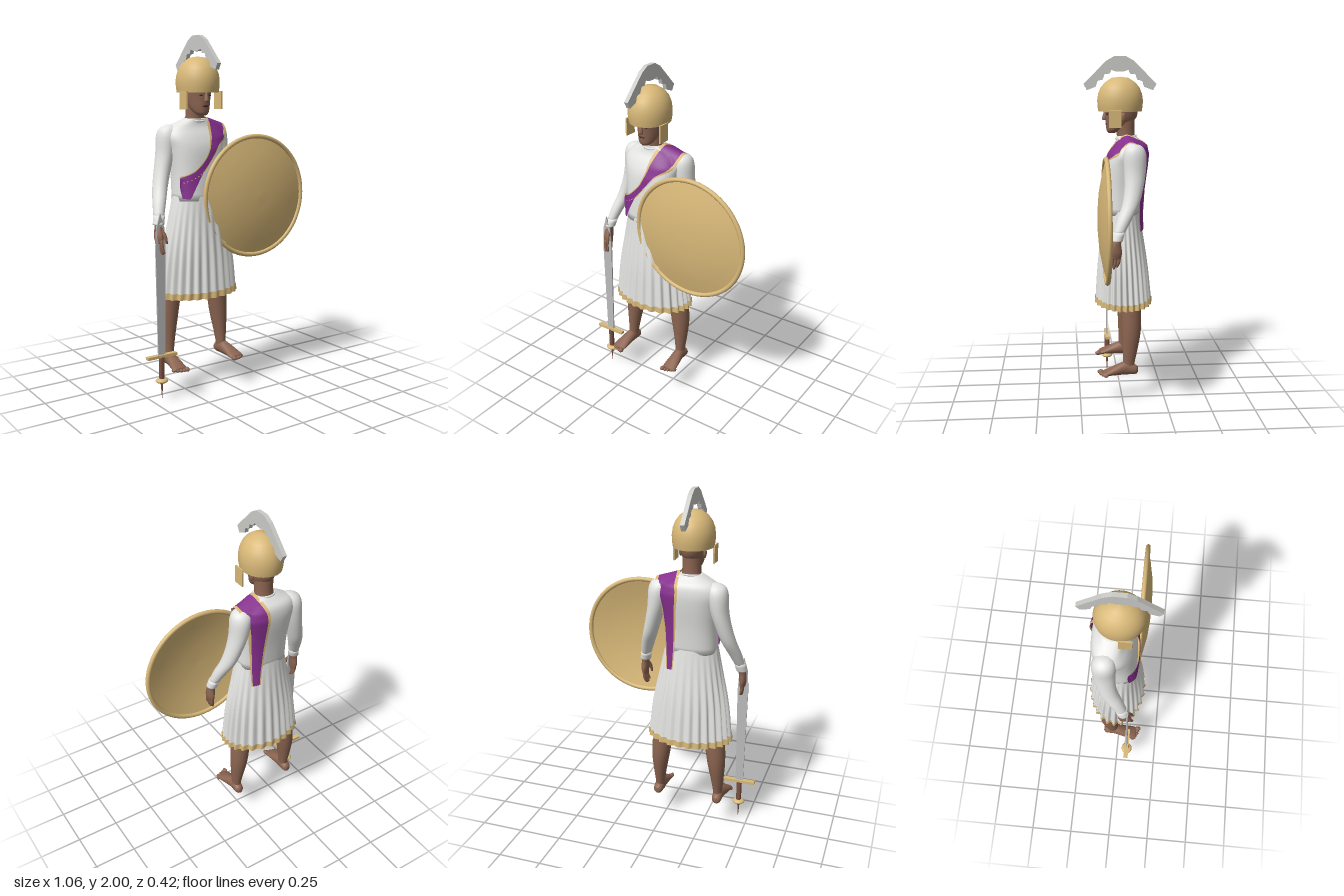
import * as THREE from 'three';
import { toCreasedNormals } from 'three/addons/utils/BufferGeometryUtils.js';

const material = (name, color, side = THREE.FrontSide) => {
  const m = new THREE.MeshStandardMaterial({ color, side });
  m.name = name;
  return m;
};
const V = (x, y, z = 0) => new THREE.Vector3(x, y, z);

// Smooth body through horizontal rings [x, y, z, rx, rz], capped unless open
function loft(rows, { seg = 24, steps = 24, power = 2, ripple = null, open = false } = {}) {
  if (rows[0][1] > rows[rows.length - 1][1]) rows = [...rows].reverse();
  const path = new THREE.CatmullRomCurve3(rows.map(r => V(r[0], r[1], r[2])), false, 'catmullrom', 0.5);
  const size = new THREE.CatmullRomCurve3(rows.map(r => V(r[3], r[4])), false, 'catmullrom', 0.5);
  const pos = [], index = [];
  const bend = c => Math.sign(c) * Math.abs(c) ** (2 / power);
  for (let i = 0; i <= steps; i++) {
    const p = path.getPoint(i / steps), s = size.getPoint(i / steps);
    for (let j = 0; j < seg; j++) {
      const a = j / seg * Math.PI * 2, k = ripple ? 1 + ripple(a, p.y) : 1;
      pos.push(p.x + s.x * k * bend(Math.cos(a)), p.y, p.z + s.y * k * bend(Math.sin(a)));
      if (i === steps) continue;
      const b = i * seg + j, n = i * seg + (j + 1) % seg;
      index.push(b, b + seg, n, n, b + seg, n + seg);
    }
  }
  if (!open) {
    const c = pos.length / 3, top = steps * seg;
    const [p, q] = [path.getPoint(0), path.getPoint(1)];
    pos.push(p.x, p.y, p.z, q.x, q.y, q.z);
    for (let j = 0; j < seg; j++) {
      const n = (j + 1) % seg;
      index.push(c, j, n, c + 1, top + n, top + j);
    }
  }
  const g = new THREE.BufferGeometry();
  g.setAttribute('position', new THREE.Float32BufferAttribute(pos, 3));
  g.setIndex(index);
  g.computeVertexNormals();
  return g;
}

// Torso rings, also used to drape the sash
const TORSO = [
  [0, 1.1, -0.005, 0.15, 0.105], [0, 1.25, -0.015, 0.15, 0.11], [0, 1.38, -0.03, 0.165, 0.115],
  [0, 1.45, -0.045, 0.18, 0.105], [0, 1.5, -0.055, 0.155, 0.085], [0, 1.53, -0.045, 0.1, 0.066],
  [0, 1.55, -0.035, 0.058, 0.055],
];
function drape(x, y, s) {
  let i = 0;
  while (i < TORSO.length - 2 && y > TORSO[i + 1][1]) i++;
  const t = THREE.MathUtils.clamp((y - TORSO[i][1]) / (TORSO[i + 1][1] - TORSO[i][1]), 0, 1);
  const [zc, rx, rz] = [2, 3, 4].map(k => THREE.MathUtils.lerp(TORSO[i][k], TORSO[i + 1][k], t));
  const depth = rz * Math.max(0, 1 - Math.abs(x / rx) ** 2.5) ** 0.4;
  return zc + s * (Math.max(depth, 0.05) + 0.016);
}

// Cloth strip between two edges; rows are [ax, ay, bx, by, s], s = 1 front to -1 back
function ribbon(rows, from, to) {
  const a = new THREE.CatmullRomCurve3(rows.map(r => V(r[0], r[1], r[4])), false, 'catmullrom', 0.4);
  const b = new THREE.CatmullRomCurve3(rows.map(r => V(r[2], r[3], r[4])), false, 'catmullrom', 0.4);
  const g = new THREE.PlaneGeometry(1, 1, 8, 60), p = g.attributes.position;
  for (let i = 0; i < p.count; i++) {
    const u = THREE.MathUtils.lerp(from, to, p.getX(i) + 0.5), v = 0.5 - p.getY(i);
    const q = a.getPoint(v).lerp(b.getPoint(v), u);
    p.setXYZ(i, q.x, q.y, drape(q.x, q.y, q.z));
  }
  g.computeVertexNormals();
  return g;
}

export function createModel() {
  const gold = material('gold', 0xd8b878, THREE.DoubleSide);
  const cloth = material('white cloth', 0xe4e4e2, THREE.DoubleSide);
  const purple = material('purple cloth', 0x86308e, THREE.DoubleSide);
  const skin = material('skin', 0x8c6551);
  const dark = material('dark features', 0x3c2b25);
  const steel = material('steel', 0xbcbcbc);
  const plume = material('plume', 0xcacac7);
  const wood = material('grip brown', 0x7a5141);

  const model = new THREE.Group();
  model.name = 'warrior';
  const group = (name, parent, x = 0, y = 0, z = 0) => {
    const g = new THREE.Group();
    g.name = name;
    g.position.set(x, y, z);
    parent.add(g);
    return g;
  };
  const add = (name, geo, mat, parent, x = 0, y = 0, z = 0) => {
    const m = new THREE.Mesh(geo, mat);
    m.name = name;
    m.position.set(x, y, z);
    parent.add(m);
    return m;
  };
  const body = group('body', model, -0.153);

  // Tunic and pleated skirt
  add('tunicTop', loft(TORSO, { power: 2.5, seg: 40 }), cloth, body);
  add('collar', new THREE.TorusGeometry(0.058, 0.006, 8, 32).rotateX(Math.PI / 2 + 0.15), cloth, body, 0, 1.542, -0.034);
  const skirtRows = [[0, 1.125, -0.006, 0.152, 0.108], [0, 0.98, -0.01, 0.18, 0.122], [0, 0.8, -0.014, 0.213, 0.142],
    [0, 0.59, -0.018, 0.236, 0.159], [0, 0.555, -0.018, 0.24, 0.161]];
  const pleats = a => Math.cos(26 * a + 0.8 * Math.sin(3 * a));
  const ripple = (a, y) => pleats(a) * 0.045 * Math.min(1, (1.125 - y) / 0.4);
  add('skirt', loft(skirtRows, { seg: 208, steps: 20, ripple, open: true }), cloth, body);
  const hemRows = skirtRows.slice(-2).map(r => [r[0], r[1], r[2], r[3] + 0.003, r[4] + 0.003]);
  add('skirtHem', loft(hemRows, { seg: 208, steps: 2, ripple, open: true }), gold, body);

  // Sash over the left shoulder with gold borders, and its loose front end
  const sash = group('sash', body);
  const sashRows = [
    [-0.155, 1.23, -0.135, 1.2, 1], [-0.08, 1.27, -0.04, 1.25, 1], [-0.01, 1.34, 0.03, 1.33, 1],
    [0.025, 1.42, 0.09, 1.4, 1], [0.036, 1.49, 0.16, 1.44, 1], [0.05, 1.535, 0.19, 1.49, 0.8], [0.062, 1.56, 0.195, 1.52, 0],
    [0.05, 1.53, 0.185, 1.49, -0.9], [0.04, 1.47, 0.165, 1.43, -1], [0.05, 1.36, 0.145, 1.34, -1],
    [0.06, 1.2, 0.13, 1.2, -1.04], [0.075, 1.01, 0.12, 1.0, -1.12],
  ];
  const tailRows = [[-0.152, 1.225, -0.037, 1.255, 1], [-0.152, 1.17, -0.072, 1.19, 1], [-0.14, 1.115, -0.109, 1.115, 1.03]];
  add('sashCloth', ribbon(sashRows, 0.13, 0.88), purple, sash);
  add('sashInnerBorder', ribbon(sashRows, 0, 0.13), gold, sash);
  add('sashOuterBorder', ribbon(sashRows, 0.88, 1), gold, sash);
  add('sashTail', ribbon(tailRows, 0, 1), purple, sash);

  // Arms, hands, legs and feet, mirrored left and right
  for (const [side, s] of [['right', -1], ['left', 1]]) {
    const mirror = rows => rows.map(([x, ...r]) => [x * s, ...r]);
    const arm = group(side + 'Arm', body, s > 0 ? 0.015 : 0);
    add('sleeve', loft(mirror([
      [0.145, 1.515, -0.065, 0.02, 0.02], [0.15, 1.495, -0.068, 0.052, 0.05], [0.158, 1.45, -0.07, 0.06, 0.066],
      [0.172, 1.36, -0.07, 0.051, 0.062], [0.195, 1.27, -0.062, 0.045, 0.054], [0.222, 1.18, -0.042, 0.041, 0.048],
      [0.25, 1.1, -0.005, 0.036, 0.041], [0.274, 1.02, 0.03, 0.028, 0.031]])), cloth, arm);
    add('cuff', loft(mirror([[0.27, 1.035, 0.026, 0.032, 0.034], [0.282, 0.985, 0.04, 0.031, 0.033]]), { steps: 3 }), cloth, arm);
    add('palm', loft(mirror([
      [0.278, 1.0, 0.036, 0.022, 0.025], [0.285, 0.965, 0.045, 0.021, 0.028],
      [0.288, 0.92, 0.05, 0.02, 0.038], [0.287, 0.885, 0.053, 0.015, 0.034]])), skin, arm);
    for (let f = 0; f < 4; f++) {
      const z = 0.026 + f * 0.018, end = 0.818 + Math.abs(f - 1.6) * 0.009;
      add('finger', loft(mirror([
        [0.287, 0.905, z, 0.01, 0.01], [0.287, 0.865, z + 0.005, 0.0095, 0.0095],
        [0.281, end + 0.01, z + 0.012, 0.008, 0.008], [0.278, end, z + 0.014, 0.004, 0.004]]), { seg: 8, steps: 9 }), skin, arm);
    }
    add('thumb', loft(mirror([
      [0.28, 0.965, 0.06, 0.011, 0.012], [0.268, 0.925, 0.083, 0.011, 0.011],
      [0.262, 0.885, 0.093, 0.006, 0.006]]), { seg: 8, steps: 9 }), skin, arm);

    const leg = group(side + 'Leg', body);
    add('shinAndThigh', loft(mirror([
      [0.085, 0.95, -0.02, 0.07, 0.075], [0.13, 0.72, -0.035, 0.07, 0.072], [0.158, 0.55, -0.05, 0.06, 0.06],
      [0.171, 0.42, -0.053, 0.052, 0.056], [0.178, 0.3, -0.045, 0.036, 0.043],
      [0.18, 0.22, -0.037, 0.027, 0.034], [0.182, 0.175, -0.035, 0.028, 0.036]])), skin, leg);
    add('foot', loft(mirror([
      [0.183, -0.092, -0.182, 0.012, 0.015], [0.183, -0.075, -0.185, 0.027, 0.029], [0.183, -0.02, -0.195, 0.031, 0.04],
      [0.189, 0.04, -0.185, 0.038, 0.03], [0.193, 0.095, -0.172, 0.043, 0.017],
      [0.194, 0.118, -0.167, 0.038, 0.011]])).rotateX(Math.PI / 2), skin, leg);
    for (let t = 0; t < 5; t++) {
      const r = t === 0 ? 0.013 : 0.0095;
      const toe = add('toe', new THREE.SphereGeometry(r, 10, 8), skin, leg, s * (0.161 + t * 0.0175), 0.155 + r, 0.128 - t * t * 0.0018);
      toe.scale.z = 1.5;
    }
  }

  // Head and face
  const head = group('head', body);
  add('neck', loft([[0, 1.5, -0.04, 0.06, 0.058], [0, 1.56, -0.032, 0.052, 0.052], [0, 1.66, -0.025, 0.052, 0.06]]), skin, head);
  add('skull', loft([[0, 1.566, 0.05, 0.018, 0.018], [0, 1.58, 0.038, 0.038, 0.04], [0, 1.61, 0.014, 0.053, 0.068],
    [0, 1.66, -0.006, 0.064, 0.091], [0, 1.73, -0.006, 0.07, 0.097], [0, 1.79, -0.005, 0.062, 0.085],
    [0, 1.83, -0.005, 0.025, 0.035]]), skin, head);
  add('nose', loft([[0, 1.64, 0.088, 0.013, 0.012], [0, 1.65, 0.09, 0.014, 0.015], [0, 1.69, 0.083, 0.007, 0.01]], { seg: 12, steps: 8 }), skin, head);
  add('mouth', new THREE.SphereGeometry(1, 14, 8).scale(0.021, 0.006, 0.008), dark, head, 0, 1.618, 0.077);
  for (const s of [-1, 1]) {
    add('eye', new THREE.SphereGeometry(1, 12, 8).scale(0.011, 0.005, 0.006), dark, head, s * 0.027, 1.676, 0.077);
    add('ear', new THREE.SphereGeometry(1, 12, 10).scale(0.009, 0.027, 0.016), skin, head, s * 0.068, 1.66, -0.015);
  }

  // Helmet with cheek plates and a notched crest
  const helmet = group('helmet', body);
  const domeProfile = [[0.95, 1.69], [0.99, 1.72], [1, 1.755], [0.96, 1.79], [0.85, 1.825], [0.66, 1.855], [0.36, 1.88], [0, 1.886]];
  add('helmetDome', new THREE.LatheGeometry(domeProfile.map(p => new THREE.Vector2(...p)), 48).scale(0.117, 1, 0.132), gold, helmet);
  for (const s of [-1, 1]) add('cheekPlate', new THREE.BoxGeometry(0.009, 0.1, 0.07), gold, helmet, s * 0.113, 1.65, 0.035);
  const half = [[0.035, 2], [0.08, 1.975], [0.15, 1.905], [0.21, 1.845], [0.19, 1.81], [0.14, 1.83], [0.13, 1.862],
    [0.1, 1.87], [0.09, 1.9], [0.06, 1.903], [0.05, 1.925], [0.02, 1.915]];
  const arch = [...half, ...half.map(([z, y]) => [-z, y]).reverse()];
  add('crest', new THREE.ExtrudeGeometry(new THREE.Shape(arch.map(p => new THREE.Vector2(...p))), { depth: 0.024, bevelEnabled: false })
    .translate(0, 0, -0.012).rotateY(Math.PI / 2), plume, helmet);

  // Round shield
  const shield = group('shield', model, 0.172, 1.103, 0);
  const bowl = [[0, 0.148], [0.08, 0.146], [0.17, 0.138], [0.26, 0.12], [0.338, 0.1]];
  add('shieldBowl', new THREE.LatheGeometry(bowl.map(p => new THREE.Vector2(...p)), 64).rotateX(Math.PI / 2), gold, shield);
  add('shieldRim', new THREE.TorusGeometry(0.342, 0.013, 12, 72), gold, shield, 0, 0, 0.1);

  // Sword held point upward
  const sword = group('sword', model, -0.44, 0, 0.065);
  const outline = [[-0.022, 0.25], [0.022, 0.25], [0.031, 0.85], [0.024, 0.97], [0, 1.05], [-0.024, 0.97], [-0.031, 0.85]];
  add('blade', new THREE.ExtrudeGeometry(new THREE.Shape(outline.map(p => new THREE.Vector2(...p))), { depth: 0.008, bevelEnabled: false })
    .translate(0, 0, -0.004), steel, sword);
  add('crossguard', new THREE.BoxGeometry(0.185, 0.016, 0.028), gold, sword, 0, 0.252, 0);
  add('grip', toCreasedNormals(new THREE.CylinderGeometry(0.016, 0.015, 0.13, 16), 0.8), wood, sword, 0, 0.182, 0);
  add('pommel', new THREE.SphereGeometry(1, 24, 12).scale(0.036, 0.015, 0.033), gold, sword, 0, 0.11, 0);
  add('spike', new THREE.ConeGeometry(0.008, 0.1, 10).rotateX(Math.PI), wood, sword, 0, 0.05, 0);

  return model;
}
